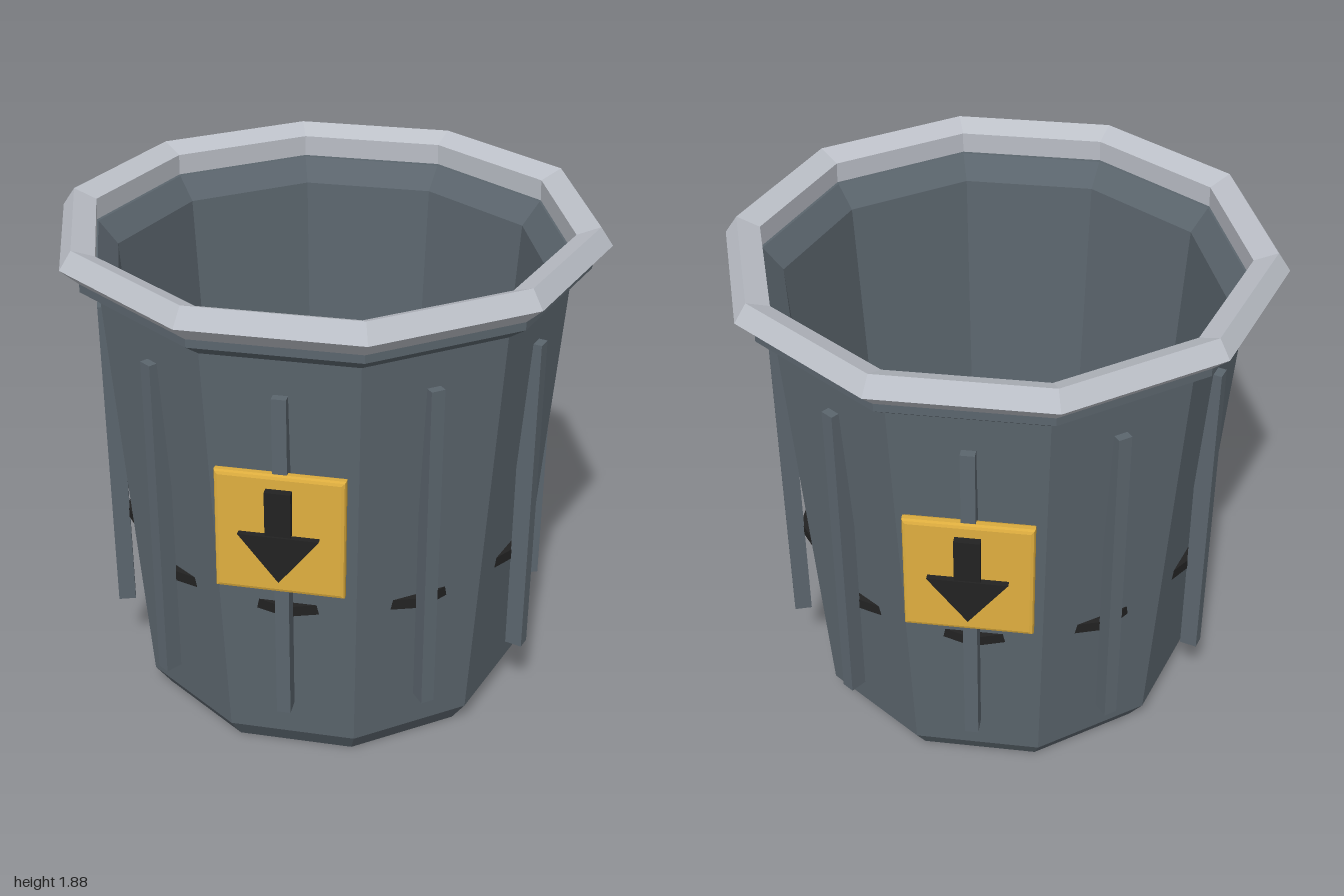
import * as THREE from 'three';

const SIDES = 10;

export function createModel() {
  const model = new THREE.Group();
  model.name = 'trashCan';

  const color = (name, hex) => {
    const m = new THREE.MeshStandardMaterial({ color: hex });
    m.name = name;
    return m;
  };
  const bodyGrey = color('bodyGrey', 0x5b656d);
  const rimGrey = color('rimGrey', 0xbcc0c8);
  const signYellow = color('signYellow', 0xdcac3e);
  const black = color('black', 0x222222);

  const add = (parent, name, geometry, material) => {
    const flat = geometry.index ? geometry.toNonIndexed() : geometry;
    flat.computeVertexNormals();
    const mesh = new THREE.Mesh(flat, material);
    mesh.name = name;
    parent.add(mesh);
    return mesh;
  };

  // Ten-sided ring with corners on the x axis
  const lathe = (profile) => new THREE.LatheGeometry(
    profile.map(([r, y]) => new THREE.Vector2(r, y)), SIDES, Math.PI / SIDES);

  // Hollow tapered body with a flared neck
  add(model, 'body', lathe([
    [0, 0], [0.69, 0], [0.752, 0.09], [0.865, 1.68], [0.935, 1.73], [0.935, 1.765],
    [0.87, 1.765], [0.8, 1.68], [0.7, 0.15], [0, 0.15],
  ]), bodyGrey);

  // Chunky rim
  add(model, 'rim', lathe([
    [0.875, 1.77], [0.93, 1.755], [1, 1.82], [0.955, 1.885], [0.872, 1.85], [0.875, 1.77],
  ]), rimGrey);

  // Dark inner floor, turned half a side so its corners show through the wall
  const floor = add(model, 'innerFloor', new THREE.CylinderGeometry(0.79, 0.79, 0.04, SIDES), black);
  floor.position.y = 0.68;

  // Upright rib in the middle of each side
  for (let i = 0; i < SIDES; i++) {
    const a = (i / SIDES) * Math.PI * 2;
    const rib = add(model, 'rib', new THREE.BoxGeometry(0.05, 1.27, 0.065), bodyGrey);
    rib.position.set(Math.sin(a) * 0.8125, 0.915, Math.cos(a) * 0.8125);
    rib.rotation.y = a;
  }

  // Bevelled sign plate with a downward arrow, front and back
  const polygon = (pts) => new THREE.Shape(pts.map(([x, y]) => new THREE.Vector2(x, y)));
  const h = 0.211;
  const plateShape = polygon([[-h, -h], [h, -h], [h, h], [-h, h]]);
  const arrowParts = {
    arrowShaft: polygon([[-0.045, 1.055], [0.045, 1.055], [0.045, 1.222], [-0.045, 1.222]]),
    arrowHead: polygon([[0, 0.87], [0.14, 1.05], [-0.14, 1.05]]),
  };
  for (const [name, turn] of [['frontSign', 0], ['backSign', Math.PI]]) {
    const sign = new THREE.Group();
    sign.name = name;
    sign.rotation.y = turn;
    model.add(sign);

    const plate = add(sign, 'signPlate', new THREE.ExtrudeGeometry(plateShape, {
      depth: 0.018, bevelEnabled: true, bevelThickness: 0.013, bevelSize: 0.014, bevelSegments: 2,
    }).translate(0, 0, -0.009), signYellow);
    plate.position.set(0, 1.045, 0.846);
    plate.rotation.x = -0.04;

    for (const [part, shape] of Object.entries(arrowParts)) {
      const arrow = add(sign, part,
        new THREE.ExtrudeGeometry(shape, { depth: 0.028, bevelEnabled: false }), black);
      arrow.position.z = 0.862;
    }
  }

  return model;
}
